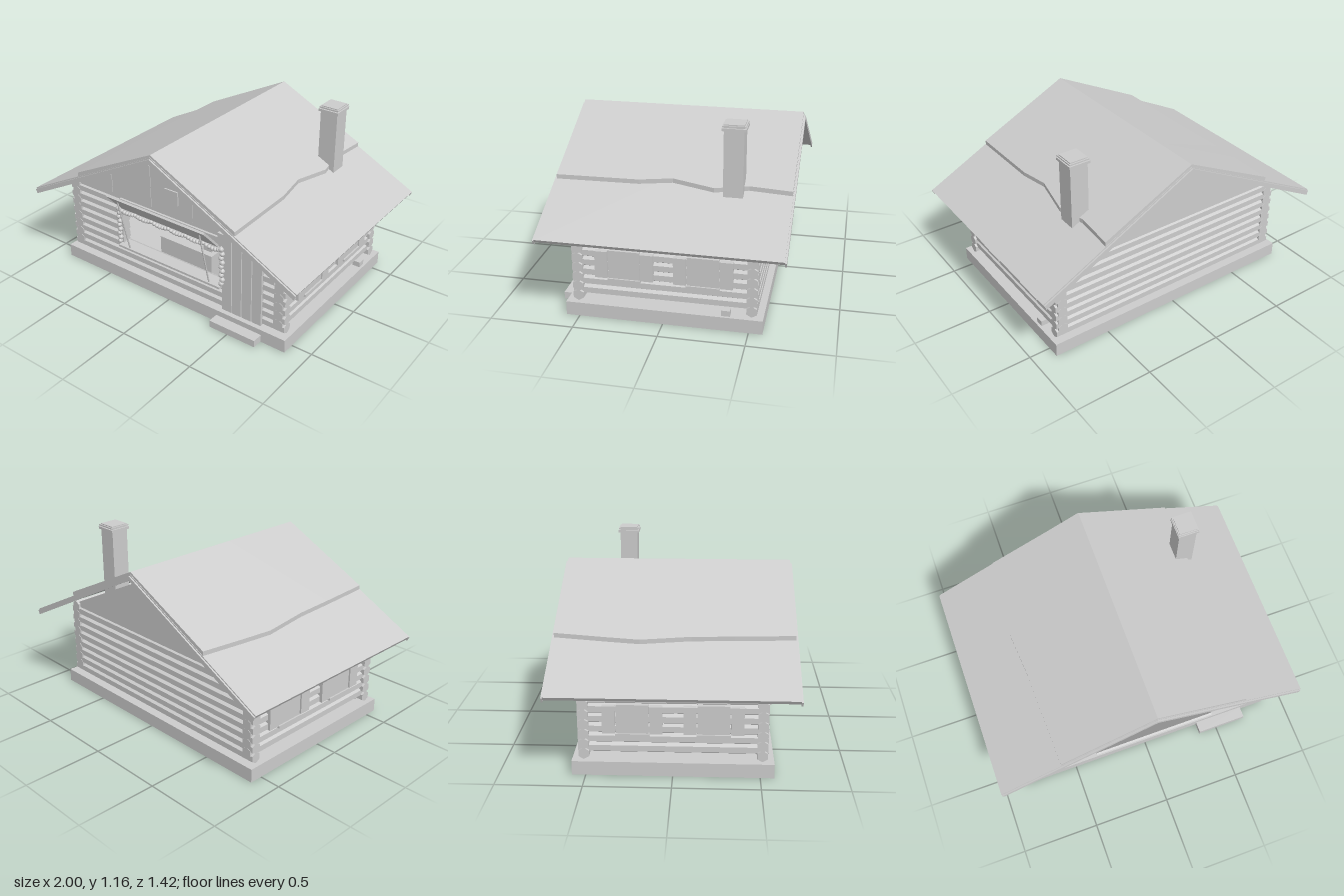
import * as THREE from 'three';

const timber = new THREE.MeshStandardMaterial({ color: 0xcccccc, flatShading: true });
timber.name = 'plain grey';

export function createModel() {
  const model = new THREE.Group();
  model.name = 'logCabinKiosk';

  const add = (name, geo, parent = model) => {
    const m = new THREE.Mesh(geo, timber);
    m.name = name;
    parent.add(m);
    return m;
  };
  // Box given by its limits on each axis
  const box = (name, x0, x1, y0, y1, z0, z1, parent) => {
    const m = add(name, new THREE.BoxGeometry(x1 - x0, y1 - y0, z1 - z0), parent);
    m.position.set((x0 + x1) / 2, (y0 + y1) / 2, (z0 + z1) / 2);
    return m;
  };
  const group = (name) => {
    const g = new THREE.Group();
    g.name = name;
    model.add(g);
    return g;
  };
  const extrude = (name, pts, z0, z1) => {
    const shape = new THREE.Shape(pts.map(([x, y]) => new THREE.Vector2(x, y)));
    const geo = new THREE.ExtrudeGeometry(shape, { depth: z1 - z0, bevelEnabled: false });
    return add(name, geo.translate(0, 0, z0));
  };

  // Foundation beams, floor and doorstep
  const base = group('foundation');
  for (const [z0, z1] of [[0.495, 0.58], [-0.58, -0.495]]) box('crossBeam', -0.865, 0.865, 0, 0.085, z0, z1, base);
  for (const s of [-1, 1]) {
    const b = box('sideBeam', -0.0425, 0.0425, 0, 0.085, -0.495, 0.495, base);
    b.position.x = s * 0.8225;
  }
  box('floor', -0.78, 0.78, 0.007, 0.08, -0.495, 0.495, base);
  box('doorstep', 0.375, 0.7, 0.005, 0.05, 0.58, 0.65);
  box('ventBlock', 0.8, 0.85, 0.085, 0.12, -0.39, -0.34);

  // Hexagonal logs, stacked with the side walls half a row higher
  const R = 0.035, STEP = 0.0605;
  const log = (parent, a, b, y, off, alongZ) => {
    const g = new THREE.CylinderGeometry(R, R, b - a, 6, 1, false, Math.PI / 6);
    g.rotateZ(Math.PI / 2);
    if (alongZ) g.rotateY(Math.PI / 2);
    const m = add('log', g, parent);
    const mid = (a + b) / 2;
    m.position.set(alongZ ? off : mid, y, alongZ ? mid : off);
  };
  const front = group('frontWall'), back = group('backWall'), sides = group('sideWalls');
  for (let i = 0; i < 8; i++) {
    const y = 0.12 + STEP * i;
    log(back, -0.835, 0.835, y, -0.512);
    log(front, -0.835, y < 0.26 ? 0.4 : -0.39, y, 0.512);
    log(front, 0.68, 0.835, y, 0.512);
    for (const s of [-1, 1]) log(sides, -0.545, 0.545, y + STEP / 2, s * 0.79, true);
  }

  // Gable walls
  const gable = [[-0.82, 0.565], [0.82, 0.565], [0.77, 0.605], [0, 0.99], [-0.77, 0.605]];
  extrude('frontGable', gable, 0.5, 0.53);
  extrude('backGable', gable, -0.53, -0.5);
  for (const x of [-0.48, -0.16, 0.16, 0.48]) {
    box('gableBatten', x - 0.006, x + 0.006, 0.6, 0.96 - Math.abs(x) * 0.5, 0.53, 0.534);
  }
  box('gablePlaque', -0.04, 0.06, 0.68, 0.77, 0.53, 0.539);

  // Roof slab and barge boards
  const SLOPE = 0.515, TOP = 1.05;
  const chevron = (top, t, w) => [
    [-w, top - SLOPE * w], [0, top], [w, top - SLOPE * w],
    [w - 0.012, top - SLOPE * w - t], [0, top - t], [-w + 0.012, top - SLOPE * w - t],
  ];
  extrude('roof', chevron(TOP, 0.02, 1), -0.7, 0.7);
  for (const z of [-0.71, 0.7]) extrude('bargeBoard', chevron(1.042, 0.027, 0.997), z, z + 0.01);

  // Upper roof covering with a wandering lower edge
  const edges = {
    right: [[-0.7, 0.59], [-0.45, 0.575], [-0.25, 0.605], [0, 0.56], [0.2, 0.585], [0.7, 0.59]],
    left: [[-0.7, 0.6], [-0.4, 0.625], [-0.2, 0.64], [0.1, 0.615], [0.35, 0.61], [0.7, 0.6]],
  };
  for (const side of ['left', 'right']) {
    const rows = edges[side], sign = side === 'left' ? -1 : 1;
    const geo = new THREE.BoxGeometry(1, 1, 1, 1, 1, rows.length - 1);
    const p = geo.attributes.position;
    for (let i = 0; i < p.count; i++) {
      const [z, reach] = rows[Math.round((p.getZ(i) + 0.5) * (rows.length - 1))];
      const x = (p.getX(i) + sign * 0.5) * reach;
      const u = Math.abs(x) / reach;
      const under = TOP - SLOPE * Math.abs(x);
      p.setXYZ(i, x, p.getY(i) > 0 ? under + 0.015 + 0.012 * u : under - 0.004, z * 0.995);
    }
    geo.computeVertexNormals();
    add(side + 'RoofCovering', geo);
  }

  // Chimney with stepped cap
  const chimney = group('chimney');
  box('stack', 0.515, 0.63, 0.65, 1.125, -0.42, -0.305, chimney);
  box('capSlab', 0.505, 0.64, 1.12, 1.136, -0.432, -0.293, chimney);
  box('capNeck', 0.515, 0.63, 1.136, 1.142, -0.42, -0.305, chimney);
  box('capTop', 0.508, 0.637, 1.142, 1.15, -0.43, -0.296, chimney);
  box('capCrown', 0.516, 0.629, 1.15, 1.156, -0.421, -0.304, chimney);

  // Shuttered windows on both side walls
  for (const s of [-1, 1]) {
    for (const zc of [0.232, -0.23]) {
      const win = group('sideWindow');
      const panel = (name, x1, y0, y1, z0, z1) => {
        const m = box(name, 0.8, x1, y0, y1, z0, z1, win);
        m.position.x *= s;
      };
      panel('pane', 0.832, 0.25, 0.425, zc - 0.092, zc + 0.092);
      panel('sill', 0.842, 0.236, 0.25, zc - 0.097, zc + 0.097);
      panel('shutter', 0.838, 0.25, 0.417, zc + 0.098, zc + 0.172);
      panel('shutter', 0.838, 0.25, 0.417, zc - 0.172, zc - 0.098);
    }
  }

  // Serving hatch: frame, sill, counter and till
  const hatch = group('servingHatch');
  box('lintel', -0.41, 0.41, 0.52, 0.58, 0.495, 0.545, hatch);
  box('sill', -0.4, 0.4, 0.25, 0.264, 0.49, 0.585, hatch);
  for (const x of [-0.4, 0.4]) box('jamb', x - 0.012, x + 0.012, 0.26, 0.53, 0.49, 0.548, hatch);
  box('counter', -0.205, 0.205, 0.08, 0.305, 0.25, 0.4, hatch);
  box('till', 0.11, 0.175, 0.305, 0.36, 0.3, 0.36, hatch);
  box('tillPole', 0.163, 0.169, 0.36, 0.4, 0.327, 0.333, hatch);

  // Raised hatch cover and its struts
  const hingeZ = 0.555, hingeY = 0.53, outZ = 0.69, outY = 0.68;
  const cover = add('hatchCover', new THREE.BoxGeometry(0.745, 0.014, Math.hypot(outZ - hingeZ, outY - hingeY)), hatch);
  cover.position.set(0, (hingeY + outY) / 2, (hingeZ + outZ) / 2);
  cover.rotation.x = -Math.atan2(outY - hingeY, outZ - hingeZ);
  for (const x of [-0.315, 0.315]) {
    const path = new THREE.LineCurve3(new THREE.Vector3(x, 0.262, 0.572), new THREE.Vector3(x, 0.64, 0.66));
    add('strut', new THREE.TubeGeometry(path, 1, 0.005, 6), hatch);
  }

  // Bead garland round the hatch
  const garland = group('garland');
  const bead = (x, y, r) => add('bead', new THREE.IcosahedronGeometry(r, 1), garland).position.set(x, y, 0.562);
  for (let i = 0; i <= 36; i++) bead(-0.4 + i * 0.8 / 36, 0.515 - 0.012 * Math.abs(Math.sin(i * Math.PI / 6)), 0.014);
  for (const x of [-0.402, 0.402]) {
    for (let i = 0; i < 9; i++) bead(x + (i % 2 ? 0.004 : -0.004), 0.28 + i * 0.03, 0.017);
  }

  // Plank door with header
  const door = group('door');
  box('backing', 0.4, 0.68, 0.09, 0.59, 0.5, 0.54, door);
  for (let i = 0; i < 4; i++) box('plank', 0.4 + i * 0.0715, 0.465 + i * 0.0715, 0.09, 0.59, 0.54, 0.555, door);
  box('header', 0.37, 0.7, 0.592, 0.622, 0.52, 0.56, door);

  // Wall lantern
  const lantern = group('lantern');
  box('lanternBody', 0.748, 0.778, 0.435, 0.485, 0.55, 0.58, lantern);
  box('lanternCap', 0.742, 0.784, 0.485, 0.495, 0.545, 0.585, lantern);

  return model;
}
